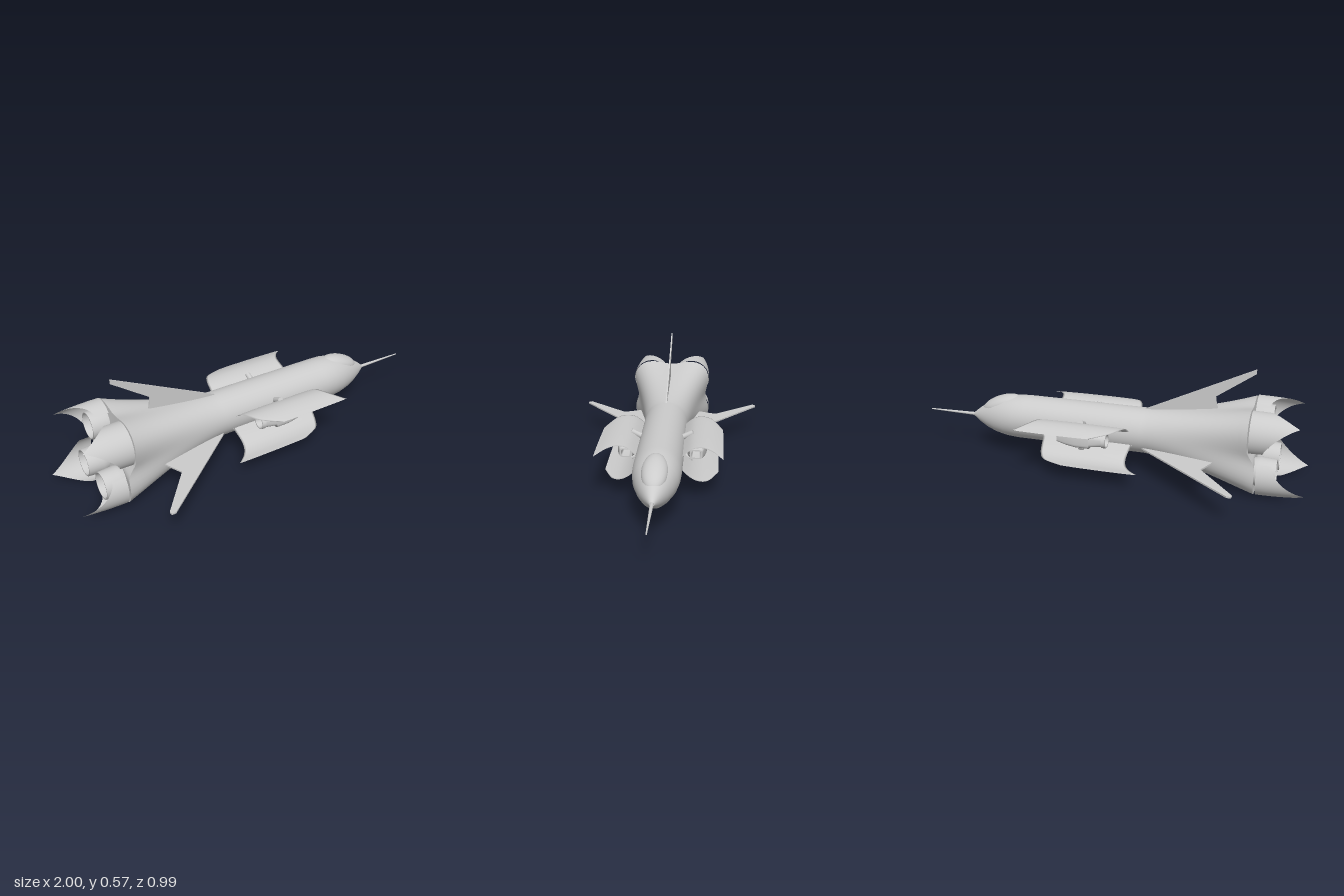
import * as THREE from 'three';

const mat = new THREE.MeshStandardMaterial({ color: 0xcccccc, side: THREE.DoubleSide });
const { lerp, clamp } = THREE.MathUtils;
const V = (x, y, z) => new THREE.Vector3(x, y, z);

// Skin a list of rings (arrays of Vector3); rings may be closed or open
function loft(rings, closed = true) {
  const n = rings[0].length, idx = [];
  for (let i = 0; i < rings.length - 1; i++)
    for (let j = 0; j < (closed ? n : n - 1); j++) {
      const k = (j + 1) % n, a = i * n + j, b = a + n, c = i * n + k, d = c + n;
      idx.push(a, b, c, b, d, c);
    }
  const g = new THREE.BufferGeometry().setFromPoints(rings.flat());
  g.setIndex(idx);
  g.computeVertexNormals();
  return g;
}

function ring(n, fn) {
  return Array.from({ length: n }, (_, j) => fn((j / n) * Math.PI * 2));
}

// Fuselage: round nose and barrel, flaring into a four-lobed tail
function fuselageGeometry() {
  const stations = []; // x, centre y, half height, half width, flare
  for (let i = 0; i <= 16; i++) {
    const t = 1 - i / 16, f = Math.pow(t, 1.35) * (0.85 + 0.15 * t);
    stations.push([-0.2 - 0.528 * t, lerp(0.205, 0.2, f), lerp(0.114, 0.216, f), lerp(0.113, 0.232, f), f]);
  }
  stations.push(
    [0.1, 0.205, 0.114, 0.113, 0], [0.42, 0.205, 0.114, 0.113, 0], [0.48, 0.204, 0.113, 0.111, 0],
    [0.54, 0.201, 0.106, 0.102, 0], [0.6, 0.197, 0.091, 0.083, 0], [0.65, 0.193, 0.07, 0.062, 0],
    [0.7, 0.19, 0.041, 0.036, 0], [0.74, 0.187, 0.011, 0.011, 0]);
  const rings = stations.map(([x, cy, ry, rz, f]) => ring(64, a => {
    const m = 1 - 0.136 * f * Math.cos(4 * a);
    const step = 0.04 * Math.pow(f, 4) * clamp(0.5 - 3 * Math.sin(a), 0, 1);
    return V(x - step, cy + ry * m * Math.sin(a), rz * m * Math.cos(a));
  }));
  // Flat rear bulkhead with a crisp edge
  const edge = rings[0].map(p => p.clone());
  const middle = edge.map(() => V(-0.748, 0.2, 0));
  return loft([middle, edge, ...rings]);
}

// Curved wing panel: lens-shaped sections swept along an arched span
function wingGeometry(arch, flip) {
  const span = new THREE.SplineCurve(arch.map(p => new THREE.Vector2(...p)));
  const edge = xs => new THREE.SplineCurve(xs.map((x, i) => new THREE.Vector2(i, x)));
  const front = edge([0.32, 0.305, 0.31, 0.34, 0.39]);
  const rear = edge([-0.145, -0.143, -0.13, -0.095, 0]);
  const rings = [];
  for (let i = 0; i <= 20; i++) {
    const u = i / 20, p = span.getPoint(u), t = span.getTangent(u);
    const xf = front.getPoint(u).y, xr = rear.getPoint(u).y;
    rings.push(ring(20, a => {
      const x = lerp(xr, xf, 0.5 + 0.5 * Math.cos(a)), h = 0.0035 * Math.sin(a);
      return V(flip ? 0.16 - x : x, p.y + t.x * h, p.x - t.y * h);
    }));
  }
  return loft(rings);
}

// Pointed petal shell around the outer side of a rocket nozzle
function petalGeometry(up) {
  const profile = [];
  for (let s = 0; s <= 14; s++) {
    const row = [];
    for (let j = 0; j <= 36; j++) {
      const u = j / 18 - 1, w = 1 - Math.abs(u);
      const len = 0.065 + 0.155 * Math.pow(w, 1.7), d = (s / 14) * len;
      const r = 0.104 - 0.25 * d * d;
      const a = Math.PI / 4 + u * 1.55;
      row.push(V(-d, up * r * Math.sin(a), r * Math.cos(a)));
    }
    profile.push(row);
  }
  return loft(profile, false);
}

// Swept fin with a notched trailing edge, cut from a flat plate
function finGeometry(points, thickness) {
  const shape = new THREE.Shape(points.map(p => new THREE.Vector2(...p)));
  const g = new THREE.ExtrudeGeometry(shape, { depth: thickness, bevelEnabled: false });
  return g.translate(0, 0, -thickness / 2);
}

// Side pod: rounded-box sections, hollow at intake and exhaust
function podGeometry() {
  const stations = [ // x, half height, half width, squareness
    [0.02, 0.016, 0.016, 1], [-0.05, 0.03, 0.03, 1], [-0.05, 0.03, 0.03, 1], [-0.05, 0.036, 0.036, 1],
    [-0.05, 0.036, 0.036, 1], [-0.03, 0.037, 0.038, 1], [-0.03, 0.037, 0.038, 1], [-0.03, 0.03, 0.033, 0.8],
    [-0.03, 0.03, 0.033, 0.8], [0.03, 0.034, 0.042, 0.6], [0.03, 0.04, 0.05, 0.5], [0.1, 0.04, 0.051, 0.5],
    [0.15, 0.034, 0.044, 0.5], [0.2, 0.023, 0.031, 0.45], [0.2, 0.023, 0.031, 0.45], [0.2, 0.017, 0.022, 0.4],
    [0.2, 0.017, 0.022, 0.4], [0.12, 0.014, 0.018, 0.4], [0.12, 0.0005, 0.0005, 1]];
  const sq = (v, e) => Math.sign(v) * Math.pow(Math.abs(v), e);
  return loft(stations.map(([x, h, w, e]) => ring(32, a =>
    V(x, 0.195 + h * sq(Math.sin(a), e), 0.171 + w * sq(Math.cos(a), e)))));
}

export function createModel() {
  const model = new THREE.Group();
  const add = (name, geometry, parent = model) => {
    const m = new THREE.Mesh(geometry, mat);
    m.name = name;
    parent.add(m);
    return m;
  };

  add('fuselage', fuselageGeometry());
  const canopy = add('canopy', new THREE.SphereGeometry(1, 32, 20));
  canopy.scale.set(0.115, 0.046, 0.06);
  canopy.position.set(0.575, 0.262, 0);
  canopy.rotation.z = -0.35;
  add('noseProbe', new THREE.CylinderGeometry(0.003, 0.009, 0.28, 16).rotateZ(-Math.PI / 2).translate(0.86, 0.187, 0));
  add('tailFin', finGeometry(
    [[-0.2, 0.32], [-0.73, 0.572], [-0.73, 0.55], [-0.545, 0.42], [-0.565, 0.3], [-0.2, 0.3]], 0.007));

  const upperArch = [[0.105, 0.225], [0.15, 0.26], [0.2, 0.273], [0.25, 0.268], [0.3, 0.25]];
  const lowerArch = [[0.105, 0.16], [0.145, 0.12], [0.19, 0.094], [0.235, 0.085], [0.28, 0.087]];
  const nozzleProfile = [[0.066, 0], [0.072, 0.03], [0.067, 0.105], [0.06, 0.105], [0.05, 0.03], [0.001, 0.02]]
    .map(p => new THREE.Vector2(...p));

  // Everything that comes in mirrored pairs
  for (const side of [1, -1]) {
    const half = new THREE.Group();
    half.name = side > 0 ? 'rightHalf' : 'leftHalf';
    half.scale.z = side;
    model.add(half);

    add('upperWing', wingGeometry(upperArch, false), half);
    add('lowerWing', wingGeometry(lowerArch, true), half);
    add('tailplane', finGeometry(
      [[-0.2, 0.09], [-0.22, 0.11], [-0.685, 0.494], [-0.705, 0.494], [-0.708, 0.478], [-0.53, 0.26], [-0.59, 0.12]], 0.008)
      .rotateX(Math.PI / 2).translate(0, 0.145, 0), half);

    // Side pod with its mount and wing struts
    add('sidePod', podGeometry(), half);
    add('podMount', new THREE.BoxGeometry(0.1, 0.04, 0.04).translate(0.08, 0.195, 0.118), half);
    for (const up of [1, -1]) {
      const strut = add('wingStrut', new THREE.CylinderGeometry(0.014, 0.014, 0.055, 16), half);
      strut.position.set(0.09, 0.197 + up * 0.058, 0.128);
      strut.rotation.x = Math.PI / 2 - up * 0.45;
    }

    // Rocket nozzles and petals, upper and lower
    for (const up of [1, -1]) {
      const x = up > 0 ? -0.735 : -0.778, y = up > 0 ? 0.3 : 0.104;
      add('rocketNozzle', new THREE.LatheGeometry(nozzleProfile, 32).rotateZ(Math.PI / 2).translate(x + 0.02, y, 0.103), half);
      add('nozzlePetal', petalGeometry(up).translate(x, y, 0.116), half);
    }
  }
  return model;
}
